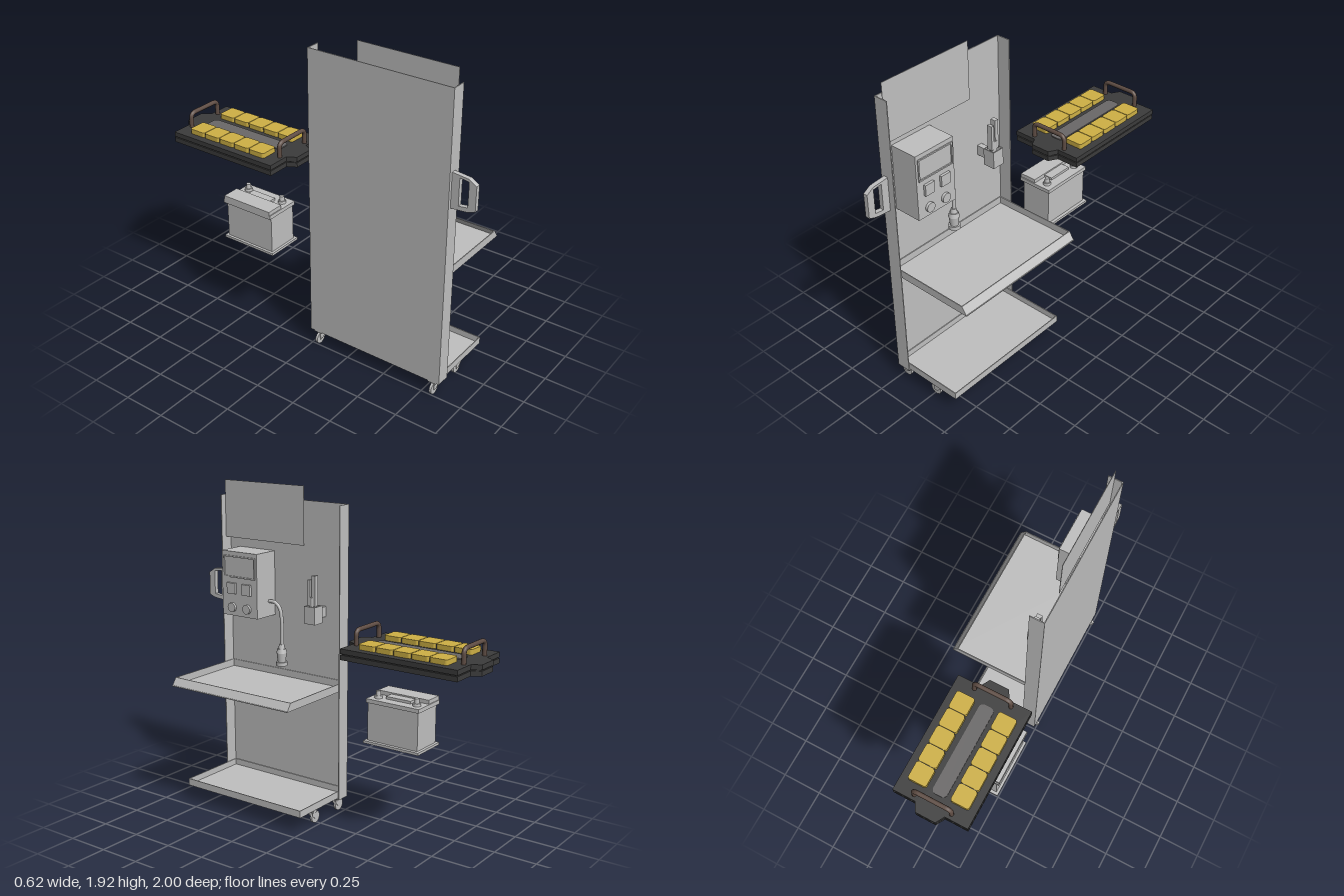
import * as THREE from 'three';

const mat = (name, color, side = THREE.FrontSide) => {
  const m = new THREE.MeshStandardMaterial({ color, side });
  m.name = name;
  return m;
};

export function createModel() {
  const root = new THREE.Group();
  root.name = 'workshopCart';
  const grey = mat('light grey', 0xc0c0c0, THREE.DoubleSide);
  const black = mat('charcoal', 0x3c3c3c);
  const yellow = mat('yellow', 0xcfb145);
  const slate = mat('mid grey', 0x6a6868);
  const brown = mat('dark brown', 0x5e4c43);

  const add = (parent, name, geo, m, x = 0, y = 0, z = 0) => {
    const mesh = new THREE.Mesh(geo, m);
    mesh.name = name;
    mesh.position.set(x, y, z);
    parent.add(mesh);
    return mesh;
  };
  const group = (name) => {
    const g = new THREE.Group();
    g.name = name;
    root.add(g);
    return g;
  };
  // Box given by its lower and upper limits
  const box = (parent, name, m, x0, x1, y0, y1, z0, z1) =>
    add(parent, name, new THREE.BoxGeometry(x1 - x0, y1 - y0, z1 - z0), m,
      (x0 + x1) / 2, (y0 + y1) / 2, (z0 + z1) / 2);
  const cyl = (parent, name, m, r0, r1, y0, y1, x, z, n = 20) =>
    add(parent, name, new THREE.CylinderGeometry(r1, r0, y1 - y0, n), m, x, (y0 + y1) / 2, z);
  // Flat slab lying in the xz plane, from an outline of [x, z] points
  const slab = (parent, name, m, pts, y0, y1) => {
    const s = new THREE.Shape(pts.map(([x, z]) => new THREE.Vector2(x, -z)));
    const g = new THREE.ExtrudeGeometry(s, { depth: y1 - y0, bevelEnabled: false });
    return add(parent, name, g.rotateX(-Math.PI / 2), m, 0, y0, 0);
  };
  const roundRect = (x0, x1, z0, z1, r) => {
    const pts = [];
    [[x1 - r, z1 - r], [x0 + r, z1 - r], [x0 + r, z0 + r], [x1 - r, z0 + r]].forEach(([cx, cz], i) => {
      for (let k = 0; k <= 5; k++) {
        const a = (i + k / 5) * Math.PI / 2;
        pts.push([cx + r * Math.cos(a), cz + r * Math.sin(a)]);
      }
    });
    return pts;
  };
  const T = 0.005;

  // Upright panel with folded side flanges
  const panel = group('uprightPanel');
  box(panel, 'backSheet', grey, -0.25, -0.25 + T, 0.09, 1.83, -0.012, 0.86);
  box(panel, 'sideFlange', grey, -0.25, -0.165, 0.09, 1.83, 0.86 - T, 0.86);
  box(panel, 'sideFlange', grey, -0.25, -0.165, 0.09, 1.83, -0.012, -0.012 + T);
  box(panel, 'bottomFlange', grey, -0.25, -0.165, 0.09, 0.09 + T, -0.012, 0.86);
  box(panel, 'topSign', grey, -0.202, -0.199, 1.576, 1.917, 0.265, 0.853);

  // Shallow trays; the front lip may lean back
  const tray = (name, x1, lipX, y0, y1) => {
    const g = group(name);
    const z0 = -0.002, z1 = 0.853, xb = -0.244;
    box(g, 'floor', grey, xb, x1, y0, y0 + T, z0, z1);
    box(g, 'backLip', grey, xb, xb + T, y0, y1, z0, z1);
    const side = new THREE.Shape([[xb, y0], [x1, y0], [lipX, y1], [xb, y1]].map((p) => new THREE.Vector2(...p)));
    for (const z of [z0, z1 - T])
      add(g, 'sideLip', new THREE.ExtrudeGeometry(side, { depth: T, bevelEnabled: false }), grey, 0, 0, z);
    const lip = new THREE.Shape([[x1, y0], [lipX, y1], [lipX - T, y1], [x1 - T, y0]].map((p) => new THREE.Vector2(...p)));
    add(g, 'frontLip', new THREE.ExtrudeGeometry(lip, { depth: z1 - z0, bevelEnabled: false }), grey, 0, 0, z0);
  };
  tray('upperShelf', 0.31, 0.278, 0.756, 0.803);
  tray('lowerShelf', 0.197, 0.197, 0.1, 0.142);

  // Swivel casters
  for (const [x, top] of [[-0.226, 0.092], [0.008, 0.102]])
    for (const z of [0.813, 0.036]) {
      const c = group('caster');
      add(c, 'wheel', new THREE.CylinderGeometry(0.036, 0.036, 0.014, 20).rotateX(Math.PI / 2), grey, x, 0.036, z);
      box(c, 'mountPlate', grey, x - 0.02, x + 0.045, top - 0.012, top, z - 0.026, z + 0.026);
      cyl(c, 'swivel', grey, 0.018, 0.018, 0.068, top, x + 0.016, z);
      const fork = new THREE.Shape([[-0.01, 0.028], [0.012, 0.03], [0.04, 0.055], [0.04, 0.078], [-0.012, 0.078]]
        .map((p) => new THREE.Vector2(...p)));
      for (const s of [-0.012, 0.008])
        add(c, 'fork', new THREE.ExtrudeGeometry(fork, { depth: 0.004, bevelEnabled: false }), grey, x, 0, z + s);
    }

  // Push handle on the side flange
  const hs = new THREE.Shape([[-0.858, 1.178], [-0.957, 1.187], [-1, 1.202], [-1, 1.343], [-0.957, 1.37], [-0.858, 1.38]]
    .map((p) => new THREE.Vector2(...p)));
  hs.holes.push(new THREE.Path([[-0.957, 1.212], [-0.904, 1.205], [-0.904, 1.362], [-0.957, 1.355]]
    .map((p) => new THREE.Vector2(...p))));
  add(root, 'pushHandle', new THREE.ExtrudeGeometry(hs, { depth: 0.027, bevelEnabled: false })
    .rotateY(Math.PI / 2), grey, -0.231, 0, 0);

  // Control box with screen frame, buttons and knobs
  const ctl = group('controlBox');
  box(ctl, 'case', grey, -0.246, -0.077, 1.131, 1.517, 0.518, 0.783);
  const frame = new THREE.Shape([[-0.77, 1.362], [-0.53, 1.362], [-0.53, 1.492], [-0.77, 1.492]].map((p) => new THREE.Vector2(...p)));
  frame.holes.push(new THREE.Path([[-0.762, 1.37], [-0.538, 1.37], [-0.538, 1.484], [-0.762, 1.484]].map((p) => new THREE.Vector2(...p))));
  add(ctl, 'screenFrame', new THREE.ExtrudeGeometry(frame, { depth: 0.007, bevelEnabled: false })
    .rotateY(Math.PI / 2), grey, -0.077, 0, 0);
  for (const z of [0.706, 0.593]) {
    box(ctl, 'button', grey, -0.08, -0.062, 1.265, 1.33, z - 0.032, z + 0.032);
    add(ctl, 'knob', new THREE.CylinderGeometry(0.028, 0.028, 0.018, 24).rotateZ(Math.PI / 2), grey, -0.071, 1.182, z);
  }

  // Hanging cable and clamp
  const clamp = group('cableClamp');
  const path = new THREE.CatmullRomCurve3([[1.222, 0.52], [1.22, 0.475], [1.19, 0.44], [1.12, 0.425], [0.96, 0.425]]
    .map(([y, z]) => new THREE.Vector3(-0.19, y, z)));
  add(clamp, 'cable', new THREE.TubeGeometry(path, 32, 0.011, 10), grey);
  for (const [r0, r1, y0, y1] of [[0.02, 0.015, 0.945, 0.972], [0.032, 0.026, 0.92, 0.945],
    [0.024, 0.03, 0.865, 0.92], [0.034, 0.034, 0.842, 0.865]])
    cyl(clamp, 'plugSection', grey, r0, r1, y0, y1, -0.19, 0.428);

  // Tool holder with an upright tool
  const tool = group('toolHolder');
  for (const x of [-0.177, -0.108]) box(tool, 'holderWall', grey, x, x + T, 1.147, 1.249, 0.118, 0.194);
  for (const z of [0.118, 0.189]) box(tool, 'holderWall', grey, -0.177, -0.103, 1.147, 1.249, z, z + T);
  box(tool, 'holderBracket', grey, -0.246, -0.177, 1.17, 1.23, 0.14, 0.172);
  cyl(tool, 'toolGrip', grey, 0.02, 0.02, 1.16, 1.3, -0.14, 0.156);
  box(tool, 'toolProng', grey, -0.156, -0.124, 1.25, 1.4, 0.166, 0.184);
  box(tool, 'toolProng', grey, -0.156, -0.124, 1.25, 1.426, 0.132, 0.156);

  // Battery with stepped lid and terminals
  const bat = group('battery');
  box(bat, 'batteryCase', grey, -0.287, -0.094, 0.54, 0.77, -0.585, -0.258);
  const foot = slab(bat, 'batteryFoot', grey, [[-0.302, -0.602], [-0.302, -0.243], [-0.074, -0.243], [-0.074, -0.602]], 0.525, 0.54);
  foot.geometry.computeVertexNormals();
  box(bat, 'lid', grey, -0.307, -0.085, 0.762, 0.785, -0.594, -0.25);
  box(bat, 'raisedLid', grey, -0.307, -0.2, 0.785, 0.808, -0.588, -0.256);
  box(bat, 'lidBridge', grey, -0.2, -0.145, 0.785, 0.8, -0.505, -0.345);
  for (const z of [-0.298, -0.548]) {
    cyl(bat, 'terminalBase', grey, 0.024, 0.022, 0.785, 0.8, -0.14, z);
    cyl(bat, 'terminal', grey, 0.015, 0.013, 0.8, 0.827, -0.14, z);
  }

  // Power pack: two-layer base with end tabs
  const pack = group('powerPack');
  const outline = (i) => [[-0.314 + i, -0.945 + i], [-0.177 + i, -0.945 + i], [-0.148, -0.995 + i], [-0.03, -0.995 + i],
    [0 - i, -0.945 + i], [0.135 - i, -0.945 + i], [0.135 - i, -0.227 - i], [0 - i, -0.227 - i],
    [-0.03, -0.174 - i], [-0.148, -0.174 - i], [-0.177 + i, -0.227 - i], [-0.314 + i, -0.227 - i]];
  slab(pack, 'lowerBase', black, outline(0), 1.052, 1.08);
  slab(pack, 'seam', black, outline(0.008), 1.08, 1.086);
  slab(pack, 'upperBase', black, outline(0), 1.086, 1.114);
  slab(pack, 'centreStrip', slate, roundRect(-0.135, -0.05, -0.862, -0.312, 0.025), 1.114, 1.12);

  // Two rows of yellow cells with dark links between
  for (const x of [-0.217, 0.037])
    for (let i = 0; i < 5; i++) {
      const z = -0.86 + i * 0.11;
      slab(pack, 'cell', yellow, roundRect(x - 0.055, x + 0.055, z, z + 0.106, 0.014), 1.114, 1.143);
      if (i) box(pack, 'cellLink', black, x - 0.045, x + 0.045, 1.114, 1.138, z - 0.005, z + 0.001);
    }

  // Carry handles
  for (const z of [-0.255, -0.915]) {
    const v = (x, y) => new THREE.Vector3(x, y, z);
    const c = new THREE.CurvePath();
    c.add(new THREE.LineCurve3(v(-0.201, 1.11), v(-0.201, 1.165)));
    c.add(new THREE.QuadraticBezierCurve3(v(-0.201, 1.165), v(-0.201, 1.198), v(-0.168, 1.198)));
    c.add(new THREE.LineCurve3(v(-0.168, 1.198), v(-0.012, 1.198)));
    c.add(new THREE.QuadraticBezierCurve3(v(-0.012, 1.198), v(0.021, 1.198), v(0.021, 1.165)));
    c.add(new THREE.LineCurve3(v(0.021, 1.165), v(0.021, 1.11)));
    add(pack, 'carryHandle', new THREE.TubeGeometry(c, 48, 0.013, 12), brown);
  }
  return root;
}
